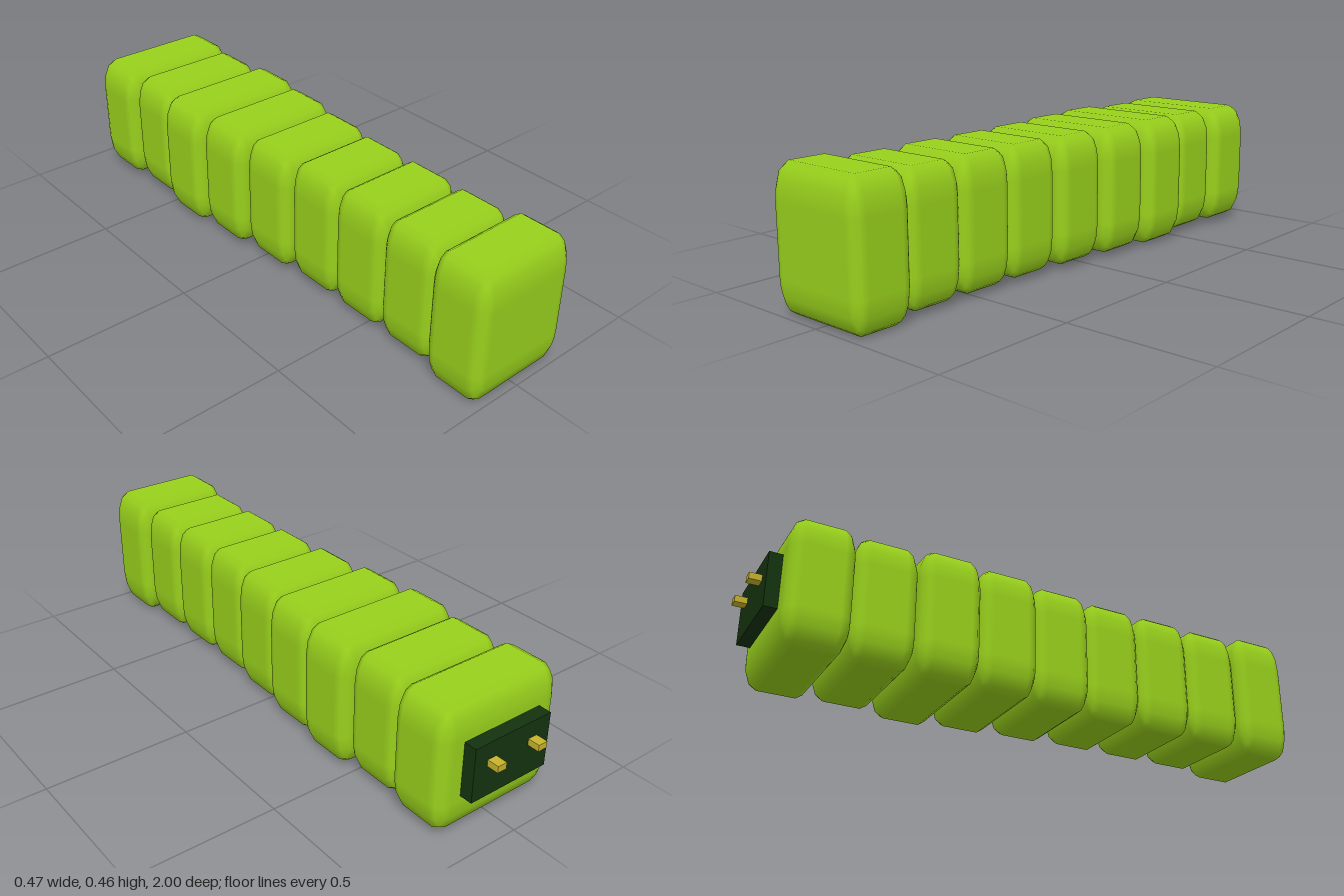
import * as THREE from 'three';

const lime = new THREE.MeshStandardMaterial({ color: 0x98d01c });
const darkGreen = new THREE.MeshStandardMaterial({ color: 0x14330f });
const gold = new THREE.MeshStandardMaterial({ color: 0xc8b42c });

// Block with elliptical rounded edges: a sphere grid whose eight octants are pushed apart.
function roundedBlock(w, h, d, rx, ry, rz) {
  const rows = [0, 0, 30, 60, 90, 90, 120, 150, 180, 180];
  const geo = new THREE.SphereGeometry(1, 16, 9);
  const pos = geo.attributes.position, nor = geo.attributes.normal;
  const n = new THREE.Vector3();
  for (let j = 0; j < 10; j++) {
    const theta = THREE.MathUtils.degToRad(rows[j]);
    const cap = j === 0 || j === 9;
    const sz = j < 5 ? 1 : -1;
    for (let i = 0; i <= 16; i++) {
      const k = i % 16, q = Math.floor(k / 4);
      const phi = THREE.MathUtils.degToRad(q * 90 + (k % 4) * 30);
      const mid = (q + 0.5) * Math.PI / 2;
      const x = -Math.cos(phi) * Math.sin(theta);
      const y = -Math.sin(phi) * Math.sin(theta);
      const z = Math.cos(theta);
      const sx = cap ? 0 : -Math.sign(Math.cos(mid));
      const sy = cap ? 0 : -Math.sign(Math.sin(mid));
      const id = j * 17 + i;
      pos.setXYZ(id, sx * (w / 2 - rx) + x * rx, sy * (h / 2 - ry) + y * ry, sz * (d / 2 - rz) + z * rz);
      n.set(x / rx, y / ry, z / rz).normalize();
      nor.setXYZ(id, n.x, n.y, n.z);
    }
  }
  return geo;
}

function addMesh(group, name, geo, mat, x, y, z) {
  const mesh = new THREE.Mesh(geo, mat);
  mesh.name = name;
  mesh.position.set(x, y, z);
  group.add(mesh);
}

export function createModel() {
  const model = new THREE.Group();
  model.name = 'segmentedBar';

  // Nine padded segments from front to back: [half width, bottom, top]
  const segments = [
    [0.19, 0, 0.46], [0.17, 0.015, 0.447], [0.17, 0.015, 0.45],
    [0.17, 0.015, 0.45], [0.19, 0.015, 0.45], [0.215, 0.014, 0.453],
    [0.235, 0.007, 0.455], [0.215, 0.018, 0.448], [0.235, 0.017, 0.449],
  ];
  const pitch = 0.213;
  segments.forEach(([hw, y0, y1], i) => {
    const h = y1 - y0;
    const geo = roundedBlock(hw * 2, h, 0.212, hw * 0.235, h * 0.255, 0.043);
    addMesh(model, `segment${i + 1}`, geo, lime, 0, (y0 + y1) / 2, 1 - pitch * (i + 0.5));
  });

  // Connector plate with two contact pins at the back
  addMesh(model, 'connectorPlate', new THREE.BoxGeometry(0.3, 0.185, 0.05), darkGreen, 0, 0.237, -0.935);
  for (const s of [-1, 1]) {
    addMesh(model, s > 0 ? 'leftPin' : 'rightPin',
      new THREE.BoxGeometry(0.034, 0.022, 0.05), gold, s * 0.082, 0.262, -0.975);
  }
  return model;
}
